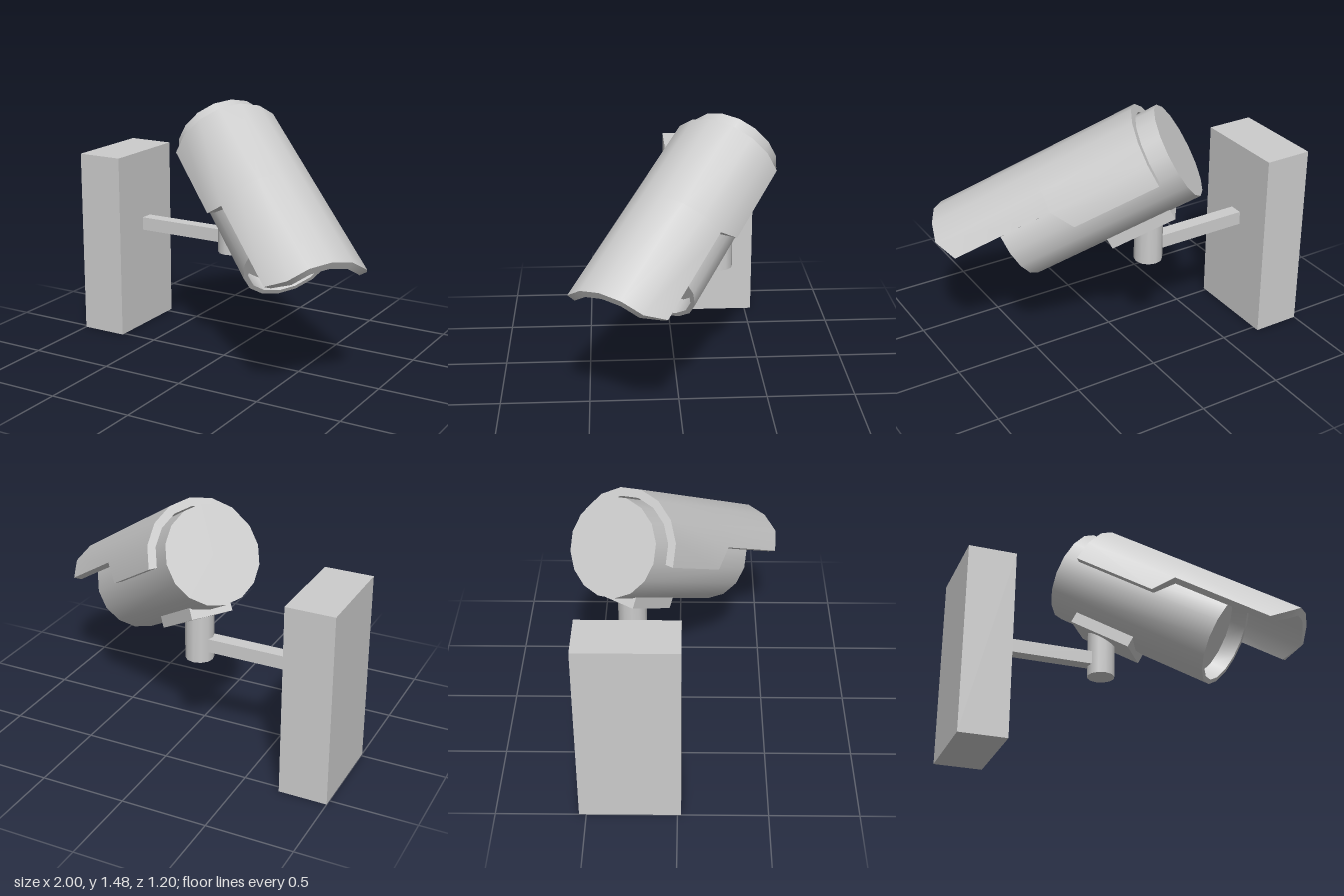
import * as THREE from 'three';
import { toCreasedNormals } from 'three/addons/utils/BufferGeometryUtils.js';

const material = new THREE.MeshStandardMaterial({ color: 0xcccccc });

function add(parent, name, geometry, x = 0, y = 0, z = 0) {
  const mesh = new THREE.Mesh(geometry, material);
  mesh.name = name;
  mesh.position.set(x, y, z);
  parent.add(mesh);
  return mesh;
}

// Tubular housing with a recessed front, its axis along z
function housingGeometry() {
  const profile = [[0, 0], [0.277, 0], [0.277, 1.05], [0.25, 1.05], [0.25, 0.95], [0, 0.95]]
    .map(([r, t]) => new THREE.Vector2(r, t));
  const geometry = new THREE.LatheGeometry(profile, 16).rotateX(Math.PI / 2);
  return toCreasedNormals(geometry, 0.6);
}

// Curved hood: a full half-circle at the rear, narrower and with cut corners in front
function hoodGeometry() {
  const outer = 0.335, inner = 0.287, back = 0.11, step = 0.71;
  const positions = [];
  const point = (r, i, t) => [r * Math.cos(i * Math.PI / 8), r * Math.sin(i * Math.PI / 8), t];
  const quad = (a, b, c, d) => positions.push(...a, ...b, ...c, ...a, ...c, ...d);

  // Strips between neighbouring angles; start and end give z at each angle
  function shell(first, last, start, end, capBack, capFront) {
    for (let i = first; i < last; i++) {
      const j = i + 1;
      const o = [point(outer, i, start), point(outer, j, start), point(outer, j, end(j)), point(outer, i, end(i))];
      const n = [point(inner, i, start), point(inner, j, start), point(inner, j, end(j)), point(inner, i, end(i))];
      quad(...o);
      quad(n[3], n[2], n[1], n[0]);
      if (capBack) quad(n[0], n[1], o[1], o[0]);
      if (capFront(i)) quad(o[3], o[2], n[2], n[3]);
    }
    // Long side edges
    quad(point(inner, first, start), point(outer, first, start),
      point(outer, first, end(first)), point(inner, first, end(first)));
    quad(point(inner, last, end(last)), point(outer, last, end(last)),
      point(outer, last, start), point(inner, last, start));
  }
  shell(0, 8, back, i => (i === 0 || i === 8 ? 0.63 : step), true, i => i === 0 || i === 7);
  shell(1, 7, step, i => (i === 1 || i === 7 ? 1.325 : 1.4), false, () => true);

  const geometry = new THREE.BufferGeometry();
  geometry.setAttribute('position', new THREE.Float32BufferAttribute(positions, 3));
  return toCreasedNormals(geometry, 0.6);
}

export function createModel() {
  const model = new THREE.Group();
  model.name = 'securityCamera';

  // Wall mount
  add(model, 'wallPlate', new THREE.BoxGeometry(0.28, 1.12, 0.56), -0.86, 0.56, -0.26);
  add(model, 'arm', new THREE.BoxGeometry(0.56, 0.08, 0.08), -0.44, 0.66, -0.265);
  add(model, 'pivot', new THREE.CylinderGeometry(0.082, 0.082, 0.28, 12), -0.102, 0.7, -0.267);

  // Camera head, turned sideways and tilted down
  const head = new THREE.Group();
  head.name = 'cameraHead';
  head.position.set(-0.229, 1.245, -0.36);
  head.rotation.set(Math.PI / 6, 55 * Math.PI / 180, 0, 'YXZ');
  model.add(head);
  add(head, 'housing', housingGeometry());
  add(head, 'hood', hoodGeometry());
  add(head, 'mountingFoot', new THREE.BoxGeometry(0.25, 0.09, 0.4), 0, -0.265, 0.385);

  return model;
}
